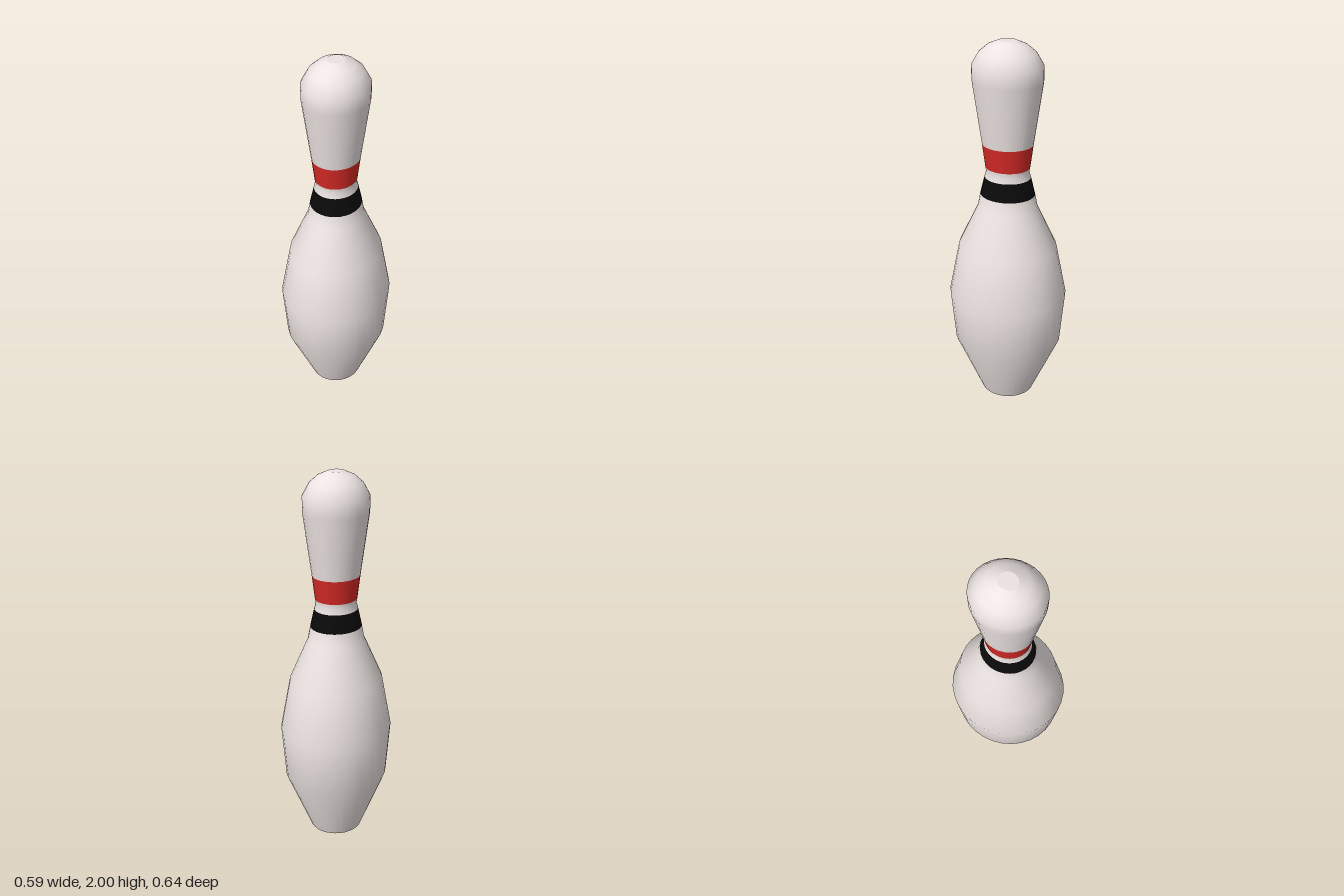
import * as THREE from 'three';

const SIDES = 32;

// Profile from base to crown: [half width in x, height, depth / width ratio]
const PROFILE = [
  [0.142, 0, 1.03], [0.274, 0.34, 1.08], [0.295, 0.625, 1.09], [0.243, 0.905, 1.09],
  [0.146, 1.13, 1.09], [0.133, 1.2, 1.09], [0.112, 1.295, 1.09], [0.104, 1.325, 1.08],
  [0.108, 1.35, 1.09], [0.123, 1.475, 1.09], [0.166, 1.8, 1.09], [0.167, 1.88, 1.09],
  [0.133, 1.942, 1.09], [0.092, 1.978, 1.09], [0.043, 2, 1.09],
];

// Full smooth shell, round first and then stretched into an oval
function makeShell() {
  const shell = new THREE.LatheGeometry(PROFILE.map(([r, y]) => new THREE.Vector2(r, y)), SIDES);
  const { position, normal } = shell.attributes;
  const n = new THREE.Vector3();
  for (let i = 0; i < position.count; i++) {
    const ratio = PROFILE[i % PROFILE.length][2];
    position.setZ(i, position.getZ(i) * ratio);
    n.fromBufferAttribute(normal, i);
    n.z /= ratio;
    n.normalize();
    normal.setXYZ(i, n.x, n.y, n.z);
  }
  return shell;
}

// Rings from..to of the shell, keeping its shared normals so bands blend smoothly
function slice(shell, from, to) {
  const part = shell.clone();
  const rings = PROFILE.length;
  const index = [];
  for (let s = 0; s < SIDES; s++) {
    const start = (s * (rings - 1) + from) * 6;
    for (let k = 0; k < (to - from) * 6; k++) index.push(shell.index.getX(start + k));
  }
  part.setIndex(index);
  return part;
}

export function createModel() {
  const group = new THREE.Group();
  const white = new THREE.MeshStandardMaterial({ color: 0xece4e2 });
  const black = new THREE.MeshStandardMaterial({ color: 0x0a0a0a });
  const red = new THREE.MeshStandardMaterial({ color: 0xd62a26 });

  const add = (name, geometry, material) => {
    const mesh = new THREE.Mesh(geometry, material);
    mesh.name = name;
    group.add(mesh);
    return mesh;
  };

  // Body, bands and head
  const shell = makeShell();
  add('body', slice(shell, 0, 5), white);
  add('blackBand', slice(shell, 5, 6), black);
  add('neck', slice(shell, 6, 8), white);
  add('redBand', slice(shell, 8, 9), red);
  add('head', slice(shell, 9, PROFILE.length - 1), white);

  // Flat caps closing the base and crown
  const cap = (name, [r, y, ratio], facing) => {
    const disc = new THREE.CircleGeometry(r, SIDES).rotateX(-facing * Math.PI / 2);
    disc.scale(1, 1, ratio);
    add(name, disc, white).position.y = y;
  };
  cap('base', PROFILE[0], -1);
  cap('crown', PROFILE[PROFILE.length - 1], 1);

  return group;
}
